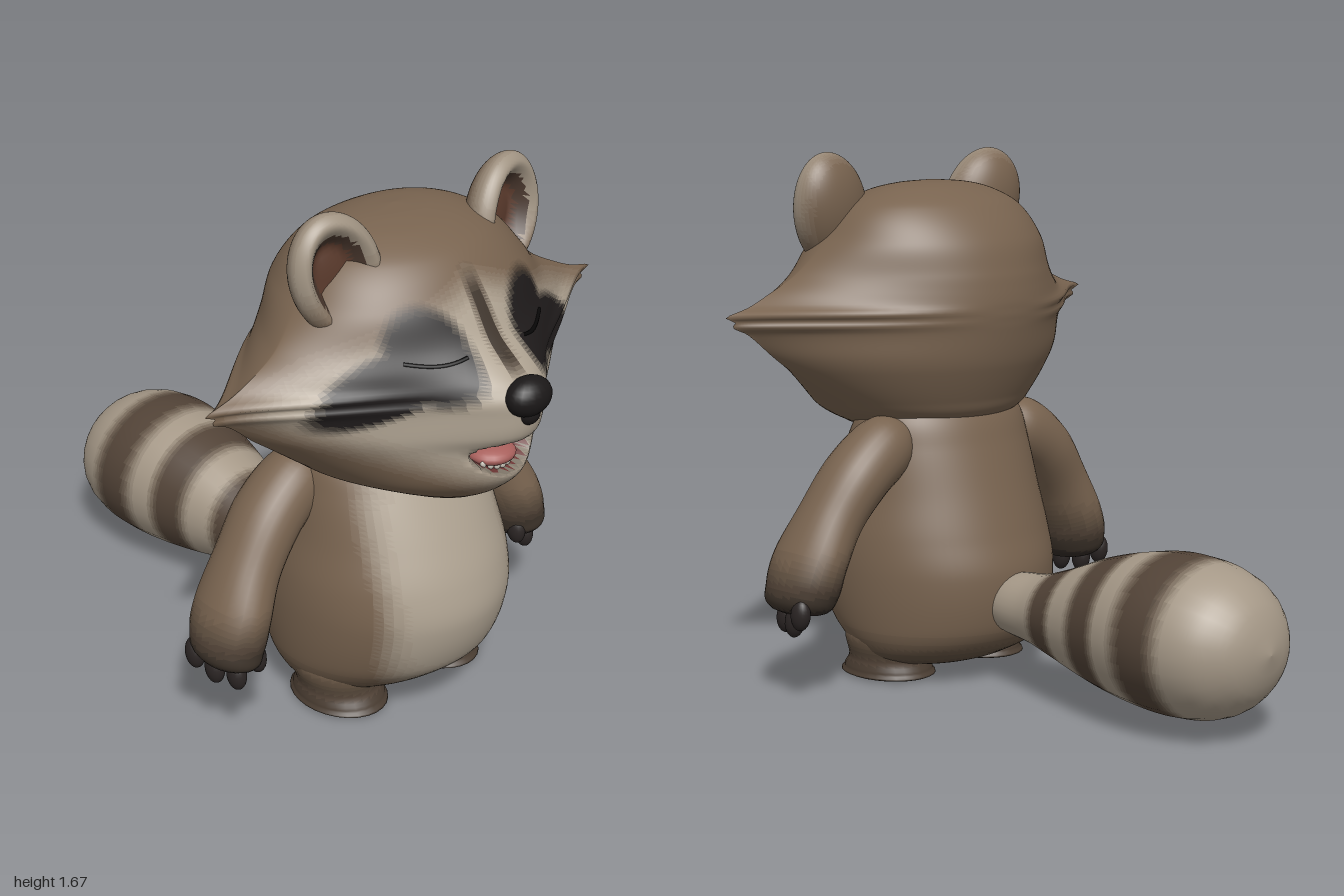
import * as THREE from 'three';

const V = (x, y, z) => new THREE.Vector3(x, y, z);
const smooth = (a, b, v) => THREE.MathUtils.smoothstep(v, a, b);
const BROWN = new THREE.Color(0x78634f), LIGHT = new THREE.Color(0xaea291), DARK = new THREE.Color(0x1f1b1b);

// Fur colour in steps: t goes brown to light, d goes to dark
function fur(t, d = 0) {
  const c = BROWN.clone().lerp(LIGHT, Math.round(t * 10) / 10);
  return c.lerp(DARK, Math.round(d * 10) / 10).getHex();
}
const material = (color) => new THREE.MeshStandardMaterial({ color });

// Smooth lookup in a table of rows [key, value, value...]
function sample(table, k) {
  const n = table.length;
  let i = 0;
  while (i < n - 2 && k > table[i + 1][0]) i++;
  const a = table[i], b = table[i + 1], h = b[0] - a[0];
  const u = THREE.MathUtils.clamp((k - a[0]) / h, 0, 1);
  const p = table[Math.max(i - 1, 0)], q = table[Math.min(i + 2, n - 1)];
  return a.slice(1).map((_, m) => {
    const j = m + 1;
    const s0 = (b[j] - p[j]) / (b[0] - p[0]) * h, s1 = (q[j] - a[j]) / (q[0] - a[0]) * h;
    const u2 = u * u, u3 = u2 * u;
    return a[j] * (2 * u3 - 3 * u2 + 1) + s0 * (u3 - 2 * u2 + u) + b[j] * (3 * u2 - 2 * u3) + s1 * (u3 - u2);
  });
}

// Skin over rows+1 rings; point(v, angle) gives a position, v from 0 to 1
function loft(rows, sides, point) {
  const pos = [], index = [];
  for (let i = 0; i <= rows; i++) {
    for (let j = 0; j < sides; j++) pos.push(...point(i / rows, j / sides * Math.PI * 2).toArray());
  }
  for (let i = 0; i < rows; i++) {
    for (let j = 0; j < sides; j++) {
      const a = i * sides + j, b = i * sides + (j + 1) % sides, c = a + sides, d = b + sides;
      index.push(a, b, c, b, d, c);
    }
  }
  const g = new THREE.BufferGeometry();
  g.setAttribute('position', new THREE.Float32BufferAttribute(pos, 3));
  g.setIndex(index);
  g.computeVertexNormals();
  return g;
}

// Split a skin into one mesh per colour, sharing the smooth normals
function paint(name, geo, colorAt) {
  const group = new THREE.Group(), sets = new Map(), p = geo.attributes.position, ix = geo.index.array;
  group.name = name;
  for (let f = 0; f < ix.length; f += 3) {
    const m = V(0, 0, 0);
    for (let k = 0; k < 3; k++) m.add(V().fromBufferAttribute(p, ix[f + k]));
    m.divideScalar(3);
    const key = colorAt(m.x, m.y, m.z);
    if (!sets.has(key)) sets.set(key, []);
    sets.get(key).push(ix[f], ix[f + 1], ix[f + 2]);
  }
  for (const [color, list] of sets) {
    const g = new THREE.BufferGeometry();
    g.setAttribute('position', p);
    g.setAttribute('normal', geo.attributes.normal);
    g.setIndex(list);
    const mesh = new THREE.Mesh(g, material(color));
    mesh.name = name + 'Patch';
    group.add(mesh);
  }
  return group;
}

function ellipsoid(name, color, center, radii, parent) {
  const m = new THREE.Mesh(new THREE.SphereGeometry(1, 20, 14), material(color));
  m.name = name;
  m.position.set(...center);
  m.scale.set(...radii);
  parent.add(m);
  return m;
}

// Head rows: height, half width, front z, back z, middle z, cheek sharpness, snout length
const HEAD = [
  [0.775, 0, 0.56, 0.5, 0.53, 1, 0], [0.782, 0.14, 0.7, 0.32, 0.5, 1, 0.03], [0.8, 0.21, 0.74, 0.24, 0.47, 1, 0.05],
  [0.85, 0.33, 0.79, 0.15, 0.45, 1.1, 0.07], [0.9, 0.4, 0.81, 0.12, 0.45, 1.2, 0.09], [1, 0.53, 0.82, 0.075, 0.46, 1.6, 0.09],
  [1.05, 0.595, 0.82, 0.06, 0.47, 1.9, 0.13], [1.13, 0.69, 0.82, 0.045, 0.48, 2.6, 0.14], [1.155, 0.745, 0.82, 0.042, 0.48, 2.8, 0.14],
  [1.17, 0.735, 0.815, 0.04, 0.48, 2.9, 0.14], [1.188, 0.77, 0.81, 0.04, 0.48, 2.9, 0.13], [1.21, 0.69, 0.81, 0.04, 0.48, 2.6, 0.11],
  [1.25, 0.6, 0.8, 0.045, 0.48, 2.1, 0.07], [1.3, 0.51, 0.78, 0.055, 0.47, 1.6, 0.03], [1.4, 0.41, 0.74, 0.09, 0.44, 1.1, 0],
  [1.5, 0.32, 0.66, 0.17, 0.41, 1, 0], [1.55, 0.22, 0.57, 0.25, 0.4, 1, 0], [1.572, 0.12, 0.48, 0.32, 0.4, 1, 0], [1.58, 0, 0.4, 0.4, 0.4, 1, 0],
];
const inMouth = (x, y) => (x / 0.115) ** 2 + ((y - 0.965 - (x * x) * 1.5) / 0.056) ** 2;

function headPoint(y, x01, front) {
  const [w, zf, zb, zc, e, snout] = sample(HEAD, y);
  const x = x01 * w, r = Math.pow(Math.max(0, 1 - x01 * x01), e / 2);
  if (!front) return V(x, y, zc + (zb - zc) * r);
  const dent = 0.12 * (1 - smooth(0.45, 1.15, inMouth(x, y)));
  return V(x, y, zc + (zf - zc) * r + (snout * Math.exp(-((x / 0.19) ** 2)) - dent) * Math.min(1, r * 1.5));
}

function headColor(x, y, z) {
  const ax = Math.abs(x);
  if (z > 0.6 && inMouth(x, y) < 0.95) return 0x6b3533;
  let t = smooth(0, 0.12, 1.5 - 0.4 * ax - y) * smooth(0, 0.14, y - 0.79 - 0.45 * ax) * smooth(0.42, 0.58, z);
  let d = 0;
  if (z > 0.45) {
    // eye masks
    const inner = ((ax - 0.2) / 0.12) ** 2 + ((y - 1.28) / 0.135) ** 2;
    const u = (ax - 0.34) * 0.9 - (y - 1.2) * 0.44, v = (ax - 0.34) * 0.44 + (y - 1.2) * 0.9;
    const outer = (u / 0.2) ** 2 + (v / 0.085) ** 2;
    d = 0.95 * (1 - smooth(0.65, 1.25, Math.min(inner, outer)));
    // forehead stripe and dark corners of the mouth
    const stripe = (1 - smooth(0.012, 0.04, ax)) * smooth(1.2, 1.26, y) * (1 - smooth(1.4, 1.5, y));
    t *= 1 - stripe;
    d = Math.max(d, 0.8 * stripe, 0.5 * (1 - smooth(0.9, 1.5, inMouth(x, y))) * (z > 0.6));
  }
  return fur(t, d);
}

// Body rows: height, half width, front z, back z
const BODY = [
  [0.035, 0, 0.4, 0.4], [0.04, 0.18, 0.5, 0.24], [0.07, 0.29, 0.57, 0.14], [0.12, 0.335, 0.65, 0.06], [0.2, 0.36, 0.73, 0.015],
  [0.35, 0.375, 0.78, 0], [0.47, 0.37, 0.765, 0.03], [0.6, 0.345, 0.715, 0.07], [0.75, 0.32, 0.64, 0.12], [0.85, 0.29, 0.58, 0.16], [0.95, 0.2, 0.5, 0.24],
];
// Tail rows: distance back, half width, bottom y, top y
const TAIL = [
  [-0.05, 0.1, 0.17, 0.35], [0, 0.11, 0.16, 0.36], [0.1, 0.12, 0.145, 0.37], [0.2, 0.145, 0.12, 0.4], [0.4, 0.2, 0.07, 0.475], [0.6, 0.245, 0.045, 0.52],
  [0.75, 0.25, 0.045, 0.52], [0.87, 0.22, 0.075, 0.485], [0.95, 0.15, 0.14, 0.42], [0.985, 0.08, 0.21, 0.35], [1, 0, 0.28, 0.28],
];
// Arm rows: step, centre x, centre y, centre z, radius across, radius in z
const ARM = [
  [0, 0.22, 0.8, 0.31, 0.05, 0.06], [1, 0.29, 0.765, 0.31, 0.1, 0.1], [2, 0.405, 0.68, 0.315, 0.102, 0.113], [3, 0.5, 0.56, 0.33, 0.095, 0.115],
  [4, 0.57, 0.435, 0.345, 0.098, 0.135], [5, 0.6, 0.345, 0.35, 0.1, 0.13], [6, 0.615, 0.285, 0.36, 0.075, 0.1], [6.4, 0.618, 0.265, 0.36, 0, 0],
];
// Leg rows: height, half width, half depth, centre z
const LEG = [[0, 0, 0, 0.4], [0.002, 0.115, 0.145, 0.405], [0.02, 0.13, 0.158, 0.405], [0.06, 0.122, 0.14, 0.4], [0.14, 0.14, 0.16, 0.39], [0.3, 0.1, 0.12, 0.39]];

// Everything that exists once on each side, built for the +x side
function sideParts(name) {
  const side = new THREE.Group();
  side.name = name;
  side.add(paint('arm', loft(40, 28, (v, a) => {
    const k = v * 6.4, [x, y, z, r, rz] = sample(ARM, k);
    const p = sample(ARM, Math.max(0, k - 0.1)), q = sample(ARM, Math.min(6.4, k + 0.1));
    const dir = V(q[0] - p[0], q[1] - p[1], 0).normalize();
    return V(x + dir.y * r * Math.sin(a), y - dir.x * r * Math.sin(a), z + rz * Math.cos(a));
  }), (x, y) => fur(0, x > 0.4 ? 0.85 * (1 - smooth(0.3, 0.5, y)) : 0)));

  for (const [x, y, z] of [[0.555, 0.3, 0.43], [0.615, 0.255, 0.41], [0.64, 0.255, 0.34], [0.665, 0.29, 0.28]]) {
    ellipsoid('finger', 0x2b2524, [x, y, z], [0.028, 0.05, 0.034], side).rotation.x = -0.15;
  }

  side.add(paint('leg', loft(24, 28, (v, a) => {
    const y = 0.3 * v * v, [rx, rz, z] = sample(LEG, y);
    return V(0.2 + rx * Math.sin(a), y, z + rz * Math.cos(a));
  }), (x, y) => fur(0, 0.75 * (1 - smooth(0, 0.2, y)))));

  // Ear: rounded disc with a hollow front
  const ear = paint('ear', loft(40, 48, (v, a) => {
    const r = Math.sin(v * Math.PI), x = r * Math.sin(a), y = -Math.cos(v * Math.PI);
    let z = r * Math.cos(a);
    if (z > 0) z -= 1.15 * (1 - smooth(0.4, 0.88, Math.hypot(x * 1.1, y)));
    return V(x * 0.142, y * 0.185, z * (z > 0 ? 0.07 : 0.1));
  }), (x, y, z) => {
    const rr = Math.hypot(x / 0.13, y / 0.185);
    if (z > -0.03 && rr < 0.5) return 0x5a3a2c;
    if (z > -0.03 && rr < 0.66) return 0x4a382e;
    return fur(smooth(-0.07, 0.03, z) * smooth(-0.15, 0.05, y) * 0.7);
  });
  ear.position.set(0.33, 1.49, 0.52);
  ear.rotation.set(-0.1, 0.15, -0.3);
  side.add(ear);

  // Closed eyelid following the face
  const lid = [0, 1, 2, 3, 4, 5, 6].map((i) => {
    const x = 0.11 + i * 0.027, y = 1.275 - 0.012 * Math.sin(i / 6 * Math.PI);
    return headPoint(y, x / sample(HEAD, y)[0], true).add(V(0, 0, 0.002));
  });
  const eye = new THREE.Mesh(new THREE.TubeGeometry(new THREE.CatmullRomCurve3(lid), 20, 0.006, 6), material(0x080707));
  eye.name = 'eyelid';
  side.add(eye);
  return side;
}

export function createModel() {
  const model = new THREE.Group();
  model.name = 'raccoon';

  model.add(paint('body', loft(70, 80, (v, a) => {
    const y = 0.035 + 0.915 * (v < 0.2 ? v * v * 2.5 : 0.1 + (v - 0.2) * 1.125), [w, zf, zb] = sample(BODY, y);
    return V(w * Math.sin(a), y, (zf + zb) / 2 + (zf - zb) / 2 * Math.cos(a));
  }), (x, y, z) => {
    const q = (x / 0.27) ** 4 + ((y - 0.5) / 0.38) ** 4;
    return fur(z > 0.4 ? 1 - smooth(0.2, 1.4, q) : 0, 0.55 * (1 - smooth(0.03, 0.2, y)));
  }));

  model.add(paint('head', loft(150, 144, (v, a) => {
    const y = 0.775 + 0.805 * (1 - Math.cos(v * Math.PI)) / 2;
    return headPoint(y, Math.sin(a), Math.cos(a) >= 0);
  }), headColor));

  // Ringed tail pointing back
  model.add(paint('tail', loft(84, 28, (v, a) => {
    const k = -0.05 + 1.05 * v, [w, y0, y1] = sample(TAIL, k);
    return V(w * Math.sin(a), (y0 + y1) / 2 + (y1 - y0) / 2 * Math.cos(a), -k);
  }), (x, y, z) => {
    const band = (c, h) => 1 - smooth(h * 0.4, h * 1.3, Math.abs(-z - c));
    const d = Math.max(band(0.21, 0.06), band(0.435, 0.07), band(0.68, 0.09));
    return fur(0.8 * (1 - d), 0.6 * d);
  }));

  // Nose, tongue and teeth
  ellipsoid('nose', 0x1b1818, [0, 1.17, 0.945], [0.078, 0.058, 0.055], model);
  ellipsoid('noseBase', 0x1b1818, [0, 1.12, 0.95], [0.035, 0.035, 0.03], model);
  ellipsoid('tongue', 0xa8605c, [0, 0.945, 0.815], [0.075, 0.03, 0.07], model);
  for (let i = -3; i <= 3; i++) {
    const x = i * 0.02, back = x * x * 5;
    ellipsoid('upperTooth', 0xc9c3b8, [x, 1.008 - x * x * 3, 0.865 - back], [0.01, 0.012, 0.008], model);
    ellipsoid('lowerTooth', 0xc9c3b8, [x, 0.922 + x * x * 4, 0.862 - back], [0.011, 0.012, 0.008], model);
  }

  const left = sideParts('leftSide'), right = sideParts('rightSide');
  right.scale.x = -1;
  model.add(left, right);
  return model;
}
